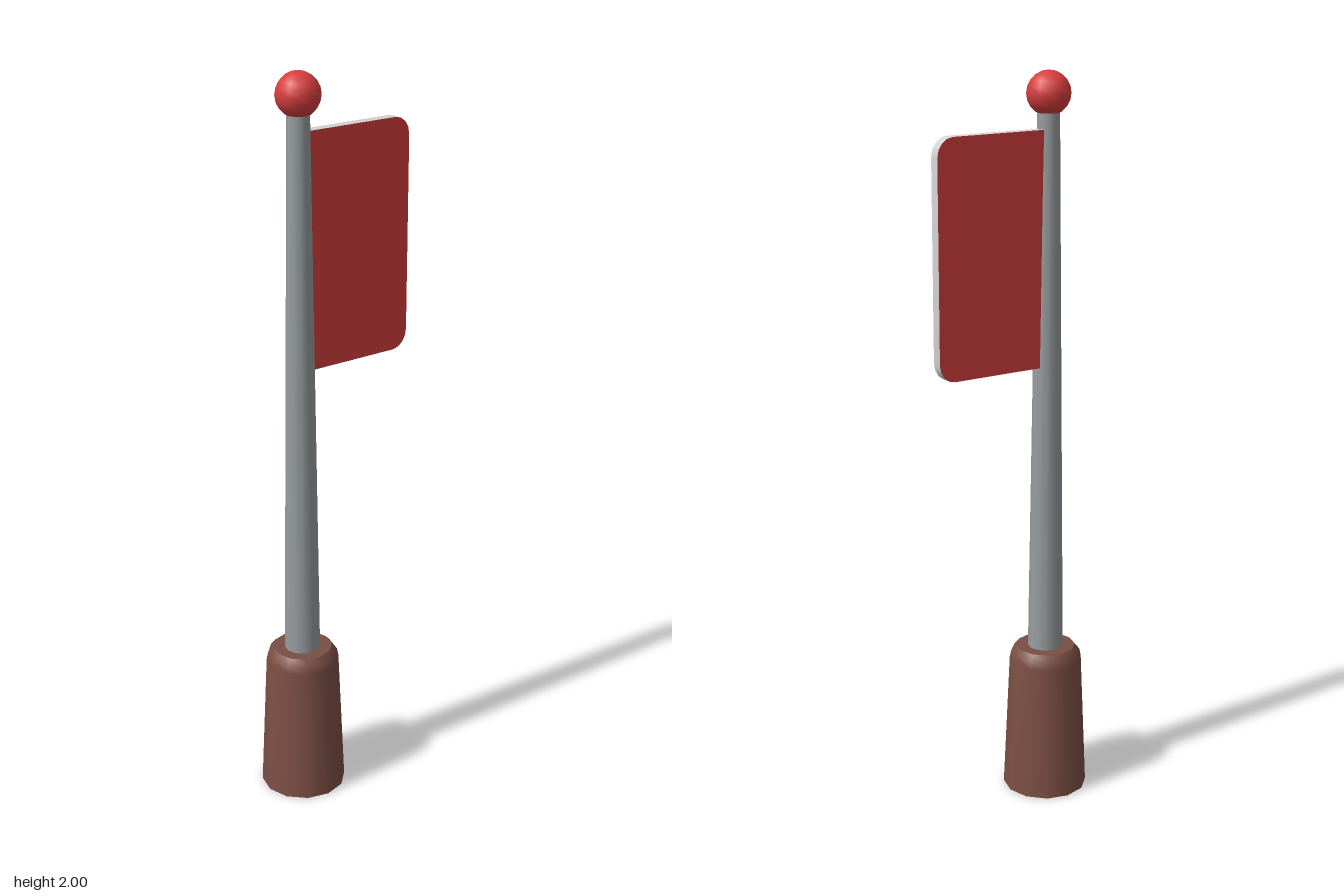
import * as THREE from 'three';
import { toCreasedNormals } from 'three/addons/utils/BufferGeometryUtils.js';

const paint = (name, color) => {
  const material = new THREE.MeshStandardMaterial({ color });
  material.name = name;
  return material;
};

export function createModel() {
  const red = paint('red', 0xd83e3e);
  const steel = paint('steel grey', 0x979c9e);
  const trim = paint('pale grey', 0xd4d4d4);
  const brown = paint('brown', 0x7b4e43);

  const group = new THREE.Group();
  group.name = 'flagPost';
  const postX = -0.113;
  const add = (name, geometry, material, x = 0, y = 0, z = 0) => {
    const mesh = new THREE.Mesh(geometry, material);
    mesh.name = name;
    mesh.position.set(x, y, z);
    group.add(mesh);
  };

  // Tapered twelve-sided base with a bevelled rim
  const baseProfile = [[0, 0], [0.117, 0], [0.1, 0.385], [0.096, 0.405], [0.082, 0.422], [0, 0.422]]
    .map(([r, y]) => new THREE.Vector2(r, y));
  add('base', toCreasedNormals(new THREE.LatheGeometry(baseProfile, 12), 0.75), brown, postX);

  // Slim tapered pole
  add('pole', new THREE.CylinderGeometry(0.029, 0.049, 1.5, 12), steel, postX, 1.16);

  // Ball on top
  add('finial', new THREE.SphereGeometry(0.058, 12, 10), red, postX, 1.942);

  // Flag panel: red faces, pale edge, rounded outer corners
  const left = postX, right = 0.228, bottom = 1.228, top = 1.852, rx = 0.045, ry = 0.05;
  const outline = [new THREE.Vector2(left, top), new THREE.Vector2(left, bottom)];
  const corner = (cy, start) => {
    for (let i = 0; i <= 4; i++) {
      const a = start + (i / 4) * Math.PI / 2;
      outline.push(new THREE.Vector2(right - rx + rx * Math.cos(a), cy + ry * Math.sin(a)));
    }
  };
  corner(bottom + ry, -Math.PI / 2);
  corner(top - ry, 0);
  const depth = 0.03;
  const panel = new THREE.ExtrudeGeometry(new THREE.Shape(outline), { depth, bevelEnabled: false });
  add('flag', toCreasedNormals(panel, 0.7), [red, trim], 0, 0, -depth / 2 - 0.001);

  return group;
}
